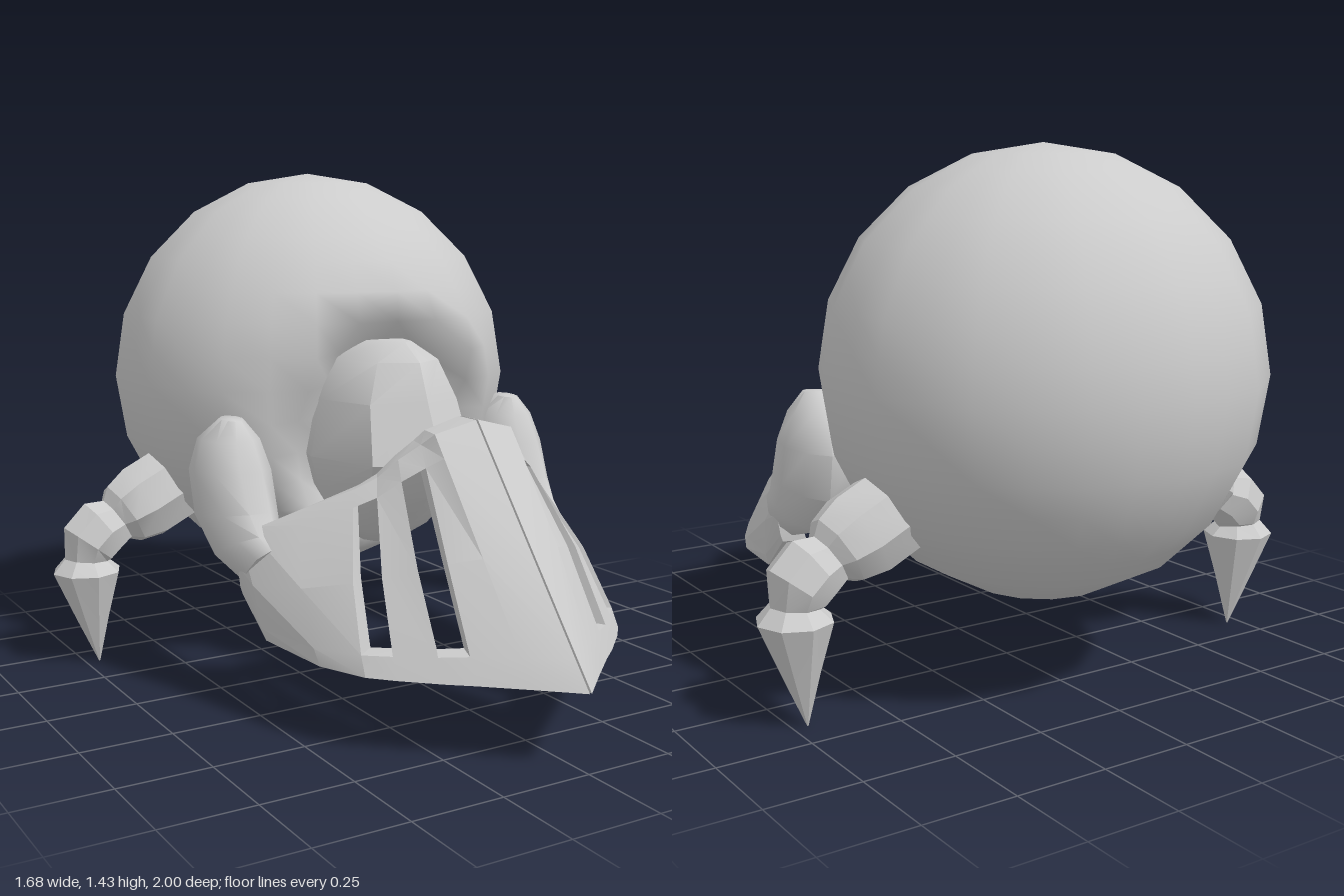
import * as THREE from 'three';
import { mergeVertices, toCreasedNormals } from 'three/addons/utils/BufferGeometryUtils.js';

const V = (x, y, z) => new THREE.Vector3(x, y, z);
const material = new THREE.MeshStandardMaterial({ color: 0xcccccc, side: THREE.DoubleSide });

function fromTriangles(points, crease) {
  const geo = new THREE.BufferGeometry().setFromPoints(points);
  return toCreasedNormals(geo, crease);
}

// Skin a list of elliptical rings { c, u, v }; u x v points along the path
function loft(rings, sides, crease) {
  const out = [];
  const at = (r, k) => {
    const a = (k / sides) * Math.PI * 2;
    return r.c.clone().addScaledVector(r.u, Math.cos(a)).addScaledVector(r.v, Math.sin(a));
  };
  const last = rings[rings.length - 1];
  for (let k = 0; k < sides; k++) {
    for (let i = 0; i + 1 < rings.length; i++) {
      const a = at(rings[i], k), b = at(rings[i], k + 1);
      const c = at(rings[i + 1], k + 1), d = at(rings[i + 1], k);
      out.push(a, b, c, a, c, d);
    }
    out.push(rings[0].c, at(rings[0], k + 1), at(rings[0], k));
    out.push(last.c, at(last, k), at(last, k + 1));
  }
  return fromTriangles(out, crease);
}

// Mirror across x = 0, keeping faces outward
function mirrored(geo) {
  const g = geo.clone().scale(-1, 1, 1);
  for (const name of ['position', 'normal']) {
    const a = g.attributes[name];
    for (let i = 0; i < a.count; i += 3) {
      const p = V().fromBufferAttribute(a, i + 1), q = V().fromBufferAttribute(a, i + 2);
      a.setXYZ(i + 1, q.x, q.y, q.z);
      a.setXYZ(i + 2, p.x, p.y, p.z);
    }
  }
  return g;
}

// Ball with chord-flattened facets and a hollow in front for the head
function bodyGeometry() {
  let geo = new THREE.SphereGeometry(0.6, 28, 20, Math.PI / 2);
  geo.deleteAttribute('uv');
  geo.deleteAttribute('normal');
  const p = geo.attributes.position;
  for (let i = 0; i < p.count; i++) {
    const col = i % 29, row = Math.floor(i / 29);
    const fr = row % 2 ? Math.cos(Math.PI / 20) : 1;
    const fc = col % 2 ? Math.cos(Math.PI / 14) : 1;
    const x = p.getX(i) * fr * fc, y = p.getY(i) * fr + 0.83;
    let z = p.getZ(i) * fr * fc;
    if (z > 0) {
      const d = Math.hypot(x / 0.34, (y - 0.7) / 0.36);
      z -= 0.2 * (1 - THREE.MathUtils.smoothstep(d, 0.55, 1));
    }
    p.setXYZ(i, x, y, z - 0.4);
  }
  geo = mergeVertices(geo, 1e-4);
  geo.computeVertexNormals();
  return geo;
}

// Head: height, half width, front z
function headGeometry() {
  const rows = [
    [0.96, 0.06, 0.17], [0.91, 0.14, 0.245], [0.8, 0.2, 0.29], [0.64, 0.23, 0.36],
    [0.54, 0.2, 0.29], [0.43, 0.14, 0.17], [0.38, 0.06, 0.09],
  ];
  return loft(rows.map(([y, w, z]) => ({ c: V(0, y, 0.04), u: V(w, 0, 0), v: V(0, 0, z - 0.04) })), 8, 0.7);
}

// Hind leg: centre x, y, radius, direction angle in degrees
function legGeometry() {
  const rows = [
    [0.45, 0.52, 0.12, -30], [0.56, 0.465, 0.12, -30], [0.62, 0.435, 0.1, -30],
    [0.645, 0.42, 0.072, -32], [0.69, 0.405, 0.09, -35], [0.735, 0.36, 0.088, -52],
    [0.74, 0.315, 0.065, -85], [0.74, 0.28, 0.1, -90], [0.725, 0.14, 0.05, -97], [0.71, 0, 0.002, -100],
  ];
  return loft(rows.map(([x, y, r, deg]) => {
    const a = THREE.MathUtils.degToRad(deg);
    return { c: V(x, y, -0.4), u: V(-Math.sin(a) * r, Math.cos(a) * r, 0), v: V(0, 0, r) };
  }), 8, 0.45);
}

// Shoulder arm: front z, y, back z, y, centre x, half width
function armGeometry() {
  const rows = [
    [0.06, 0.76, -0.03, 0.765, 0.46, 0.03], [0.1, 0.71, -0.12, 0.7, 0.46, 0.08],
    [0.14, 0.63, -0.15, 0.61, 0.46, 0.105], [0.19, 0.53, -0.13, 0.48, 0.46, 0.1],
    [0.23, 0.48, -0.02, 0.37, 0.46, 0.08], [0.27, 0.45, 0.15, 0.32, 0.455, 0.06],
  ];
  return loft(rows.map(([fz, fy, bz, by, x, w]) => ({
    c: V(x, (fy + by) / 2, (fz + bz) / 2), u: V(w, 0, 0), v: V(0, (fy - by) / 2, (fz - bz) / 2),
  })), 10, 0.9);
}

// Half of the pointed shield: columns from bottom to top, with two open slots
function shieldGeometry() {
  const columns = [
    [0.003, 0.2, 1, 0.003, 0.79, 0.52], [0.1, 0.2, 0.91, 0.12, 0.76, 0.505],
    [0.2, 0.2, 0.82, 0.14, 0.73, 0.47], [0.26, 0.2, 0.77, 0.19, 0.69, 0.44],
    [0.345, 0.2, 0.69, 0.23, 0.64, 0.4], [0.4, 0.2, 0.63, 0.28, 0.61, 0.37],
    [0.455, 0.2, 0.5, 0.38, 0.55, 0.27], [0.49, 0.21, 0.27, 0.47, 0.5, 0.2],
    [0.5, 0.31, 0.15, 0.5, 0.47, 0.16],
  ];
  const rows = [0, 0.12, 0.5, 0.9, 1];
  const nc = columns.length - 1, nr = rows.length - 1;
  const bulge = [0, 0.012, 0.03, 0.035, 0.035, 0.035, 0.04, 0.035, 0.015];
  const point = (i, j, inner) => {
    const [bx, by, bz, tx, ty, tz] = columns[i], t = rows[j];
    const b = bulge[i] * 4 * t * (1 - t), side = i / nc;
    const p = V(bx + (tx - bx) * t + b * (0.4 + 0.6 * side), by + (ty - by) * t, bz + (tz - bz) * t + b * (1 - side));
    if (inner) p.set(i ? p.x * 0.87 : p.x, p.y, p.z - 0.08 * (1 - 0.75 * side));
    return p;
  };
  const solid = (i, j) => i >= 0 && i < nc && j >= 0 && j < nr && !((i === 2 || i === 4) && (j === 1 || j === 2));
  const out = [];
  const quad = (a, b, c, d) => out.push(a, b, c, a, c, d);
  for (let i = 0; i < nc; i++) for (let j = 0; j < nr; j++) {
    if (!solid(i, j)) continue;
    const corners = [[i, j], [i + 1, j], [i + 1, j + 1], [i, j + 1]];
    const o = corners.map(([a, b]) => point(a, b, false));
    const n = corners.map(([a, b]) => point(a, b, true));
    quad(...o);
    quad(n[3], n[2], n[1], n[0]);
    // Close the wall on every open side
    [[i, j - 1], [i + 1, j], [i, j + 1], [i - 1, j]].forEach(([a, b], k) => {
      const m = (k + 1) % 4;
      if (!solid(a, b)) quad(o[k], n[k], n[m], o[m]);
    });
  }
  return fromTriangles(out, 0.25);
}

export function createModel() {
  const model = new THREE.Group();
  model.name = 'shieldedRoundCreature';
  const add = (name, geo) => {
    const mesh = new THREE.Mesh(geo, material);
    mesh.name = name;
    model.add(mesh);
  };
  add('body', bodyGeometry());
  add('head', headGeometry());
  const pairs = { HindLeg: legGeometry(), Arm: armGeometry(), ShieldHalf: shieldGeometry() };
  for (const [name, geo] of Object.entries(pairs)) {
    add('left' + name, geo);
    add('right' + name, mirrored(geo));
  }
  return model;
}
